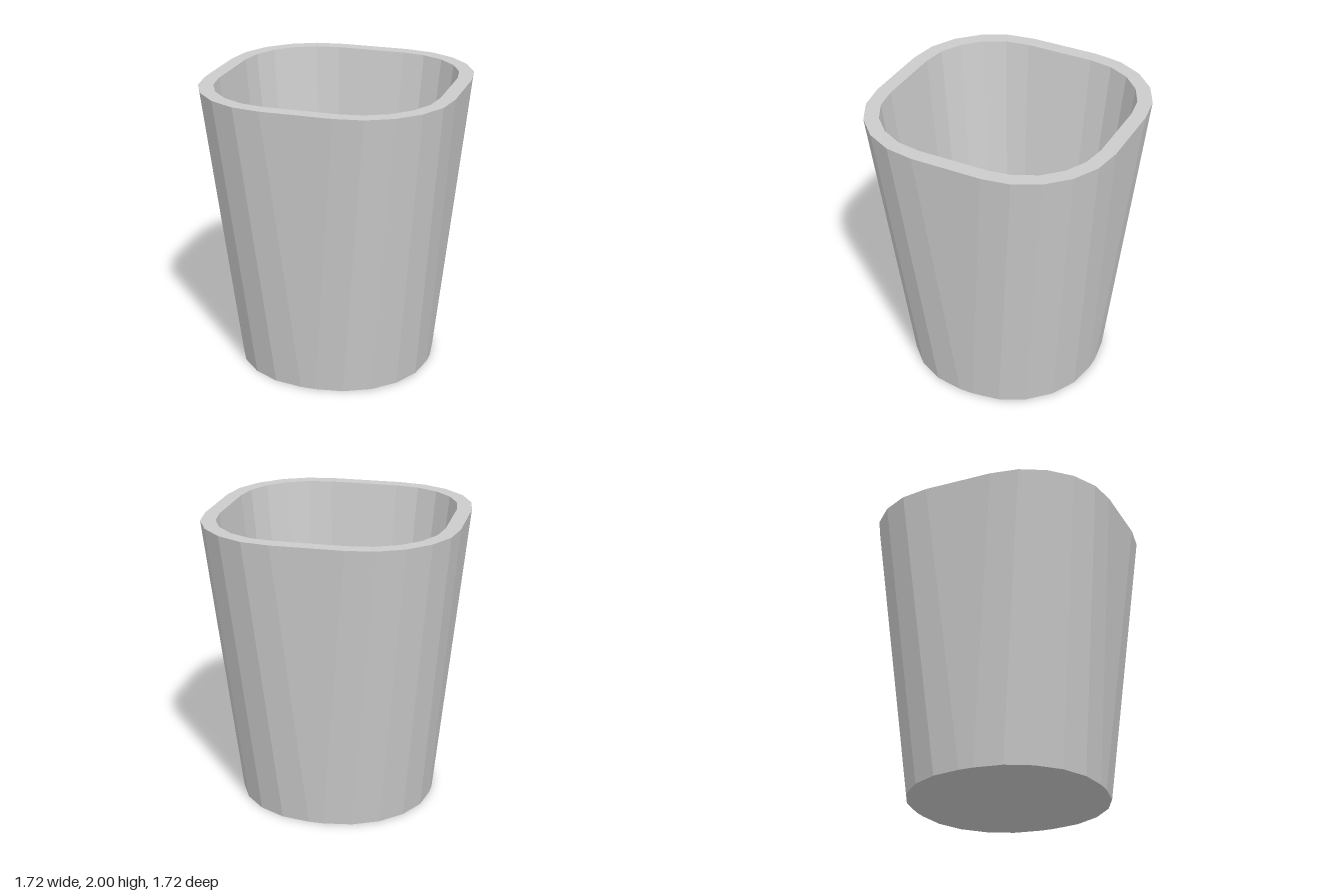
import * as THREE from 'three';

const STEPS = 5; // facets per rounded corner

// Rounded-square ring: corner arcs of radius r centred at (±half, ±half)
function ring({ half, r, y }) {
  const points = [];
  for (let corner = 0; corner < 4; corner++) {
    const mid = (corner + 0.5) * Math.PI / 2;
    const cx = half * Math.sign(Math.cos(mid));
    const cz = half * Math.sign(Math.sin(mid));
    for (let s = 0; s <= STEPS; s++) {
      const a = (corner + s / STEPS) * Math.PI / 2;
      points.push([cx + r * Math.cos(a), y, cz + r * Math.sin(a)]);
    }
  }
  return points;
}

// Faceted band joining two sections; a section of zero size is a centre point
function band(a, b, material, name) {
  const A = ring(a), B = ring(b), n = A.length, positions = [];
  for (let i = 0; i < n; i++) {
    const j = (i + 1) % n;
    if (b.r > 0) positions.push(...A[i], ...B[i], ...B[j]);
    if (a.r > 0) positions.push(...A[i], ...B[j], ...A[j]);
  }
  const geometry = new THREE.BufferGeometry();
  geometry.setAttribute('position', new THREE.Float32BufferAttribute(positions, 3));
  geometry.computeVertexNormals();
  const mesh = new THREE.Mesh(geometry, material);
  mesh.name = name;
  return mesh;
}

export function createModel() {
  const group = new THREE.Group();
  group.name = 'taperedPot';
  const material = new THREE.MeshStandardMaterial({ color: 0xcccccc, flatShading: true });

  // Sections from the underside, up the outside, over the rim and down to the floor
  const sections = [
    { half: 0, r: 0, y: 0 },
    { half: 0.05, r: 0.62, y: 0 },
    { half: 0.24, r: 0.62, y: 2 },
    { half: 0.24, r: 0.52, y: 2 },
    { half: 0.177, r: 0.383, y: 0.1 },
    { half: 0, r: 0, y: 0.1 },
  ];
  const names = ['underside', 'outerWall', 'rim', 'innerWall', 'floor'];
  names.forEach((name, i) => group.add(band(sections[i], sections[i + 1], material, name)));
  return group;
}
